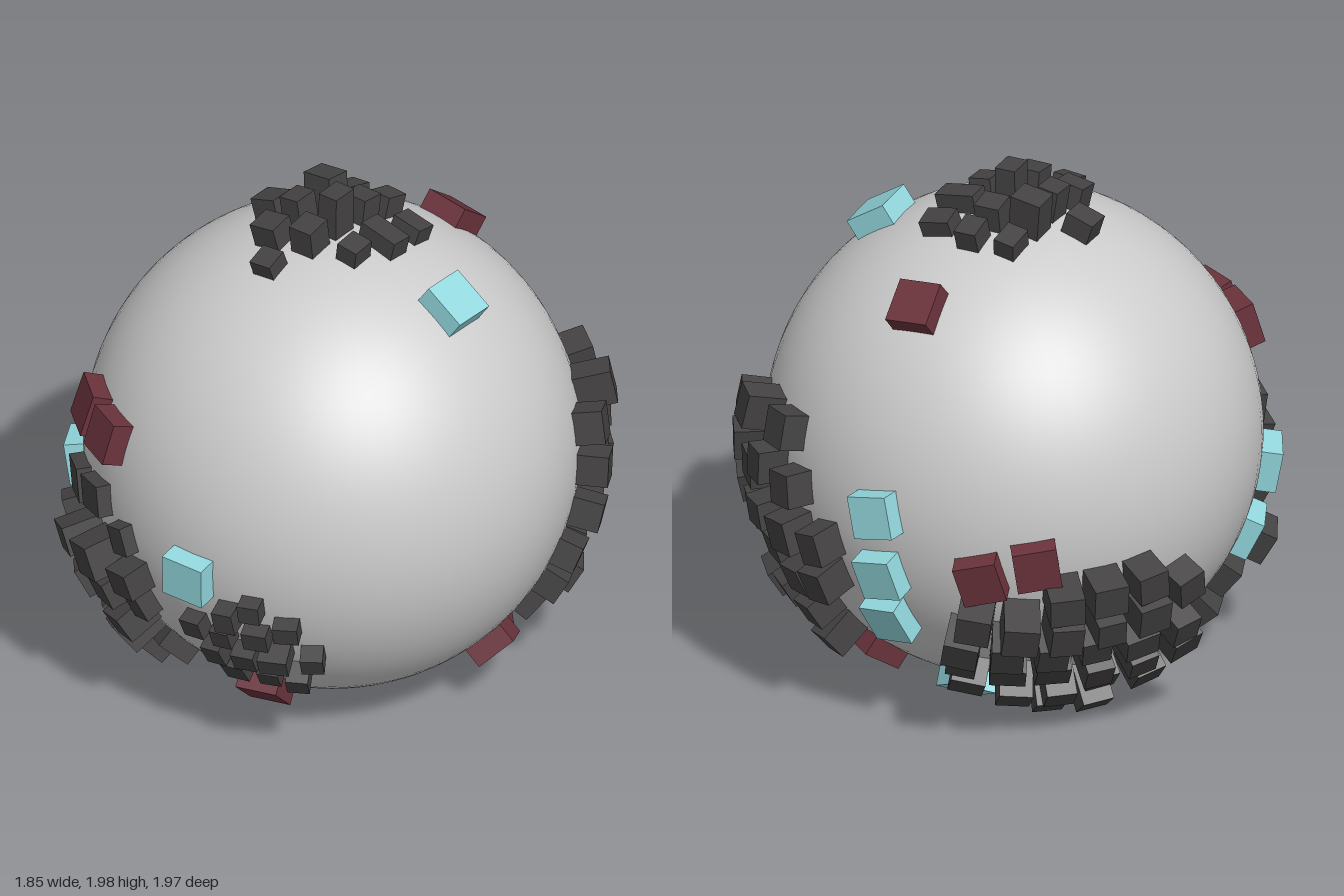
import * as THREE from 'three';

const R = 0.905;
const CENTER = new THREE.Vector3(0.018, 0.91, 0.015);
const SINK = 0.06; // how far each block reaches into the globe

const grey = new THREE.MeshStandardMaterial({ color: 0xcccccc });
const dark = new THREE.MeshStandardMaterial({ color: 0x444242 });
const maroon = new THREE.MeshStandardMaterial({ color: 0x6b333c });
const teal = new THREE.MeshStandardMaterial({ color: 0x93d8de });

// Small seeded generator for size variation
let seed = 7;
const rand = () => (seed = (seed * 16807) % 2147483647) / 2147483647;
const vary = (value, amount) => value * (1 + amount * (2 * rand() - 1));

// Axes of a patch of the globe that faces the given azimuth and elevation (degrees)
function patchFrame(azimuth, elevation) {
  const a = THREE.MathUtils.degToRad(azimuth);
  const e = THREE.MathUtils.degToRad(elevation);
  return {
    right: new THREE.Vector3(Math.cos(a), 0, -Math.sin(a)),
    up: new THREE.Vector3(-Math.sin(e) * Math.sin(a), Math.cos(e), -Math.sin(e) * Math.cos(a)),
    out: new THREE.Vector3(Math.cos(e) * Math.sin(a), Math.sin(e), Math.cos(e) * Math.cos(a)),
  };
}

// A block standing on the globe at offset (u, v) across the patch
function block(frame, u, v, width, length, height, twist, material, name) {
  const rho = R + height / 2;
  const w = Math.sqrt(Math.max(0, rho * rho - u * u - v * v));
  const normal = new THREE.Vector3()
    .addScaledVector(frame.right, u)
    .addScaledVector(frame.up, v)
    .addScaledVector(frame.out, w)
    .normalize();
  const side = new THREE.Vector3().crossVectors(frame.up, normal).normalize();
  side.applyAxisAngle(normal, twist);
  const along = new THREE.Vector3().crossVectors(normal, side);
  const mesh = new THREE.Mesh(new THREE.BoxGeometry(width, length, height + SINK), material);
  mesh.quaternion.setFromRotationMatrix(new THREE.Matrix4().makeBasis(side, along, normal));
  mesh.position.copy(CENTER).addScaledVector(normal, R + (height - SINK) / 2);
  mesh.name = name;
  return mesh;
}

// A cluster of slightly uneven blocks; a spot is [u, v, optional height, optional width]
function cluster(name, azimuth, elevation, size, height, twist, spots, material = dark, uneven = 0.13) {
  const group = new THREE.Group();
  group.name = name;
  const frame = patchFrame(azimuth, elevation);
  for (const [u, v, h, w] of spots) {
    group.add(block(
      frame, u, v,
      w ?? vary(size, uneven), vary(size, uneven), h ?? vary(height, uneven * 2),
      twist + (rand() - 0.5) * uneven, material, name + 'Block',
    ));
  }
  return group;
}

export function createModel() {
  const model = new THREE.Group();
  model.name = 'blockGlobe';

  const globe = new THREE.Mesh(new THREE.SphereGeometry(R, 64, 48), grey);
  globe.position.copy(CENTER);
  globe.name = 'globe';
  model.add(globe);

  // Crown of small blocks on the top
  model.add(cluster('topCluster', 0, 90, 0.095, 0.1, 0, [
    [-0.13, 0.26, 0.07], [0.02, 0.28, 0.08], [0.18, 0.23, 0.06, 0.12],
    [-0.14, 0.13, 0.15, 0.12], [0.0, 0.16, 0.1], [0.175, 0.08, 0.07, 0.16],
    [-0.29, 0.01, 0.08, 0.11], [-0.15, -0.01, 0.12], [0.0, 0.02, 0.17, 0.08],
    [0.15, -0.06, 0.07], [-0.16, -0.15, 0.09, 0.11], [-0.01, -0.12, 0.11], [-0.07, -0.28, 0.06],
  ]));

  // Small blocks low on the front
  model.add(cluster('frontLeftCluster', 0, 0, 0.085, 0.07, 0.05, [
    [0.33, -0.16], [0.236, -0.22], [0.44, -0.24], [0.08, -0.32], [0.2, -0.32],
    [0.325, -0.3], [0.385, -0.38, 0.1, 0.11], [0.49, -0.39], [0.14, -0.43],
    [0.26, -0.42], [0.19, -0.51], [0.31, -0.51], [0.41, -0.51],
  ]));

  // Dense blocks on the front right flank
  model.add(cluster('frontRightCluster', 0, 0, 0.125, 0.12, 0.25, [
    [-0.59, -0.05, 0.05, 0.15], [-0.43, 0.0, 0.05, 0.15], [-0.25, -0.08, 0.05, 0.09],
    [-0.66, -0.25], [-0.52, -0.21], [-0.36, -0.19], [-0.2, -0.22], [-0.19, -0.35, 0.07, 0.09],
    [-0.61, -0.36], [-0.49, -0.34], [-0.34, -0.34], [-0.72, -0.46], [-0.57, -0.48],
    [-0.42, -0.47], [-0.27, -0.46], [-0.67, -0.57], [-0.47, -0.59], [-0.34, -0.58],
    [-0.24, -0.68, 0.07, 0.1], [-0.57, -0.71], [-0.44, -0.69], [-0.34, -0.7],
  ]));

  // Rows of blocks on the back left flank
  model.add(cluster('backLeftCluster', 140, -30, 0.12, 0.11, 0, [
    [-0.28, 0.58], [-0.11, 0.65], [0.09, 0.64],
    [-0.31, 0.44], [-0.14, 0.43], [0, 0.51], [0.18, 0.48],
    [-0.33, 0.27], [-0.19, 0.25], [0.01, 0.35], [0.17, 0.32], [0.34, 0.31],
    [-0.39, 0.12], [-0.21, 0.09], [-0.01, 0.18], [0.16, 0.13], [0.32, 0.16],
    [-0.34, -0.04], [-0.2, -0.04], [-0.04, -0.01], [0.14, -0.03],
    [-0.21, -0.19], [-0.04, -0.16], [0.14, -0.17],
  ]));

  // Dense rows of blocks on the back right flank: [v, first u, count]
  const backRightSpots = [];
  for (const [v, start, count] of [
    [0.27, -0.02, 3], [0.14, -0.33, 6], [0.0, -0.36, 6],
    [-0.14, -0.34, 6], [-0.28, -0.3, 5], [-0.4, 0.0, 2],
  ]) {
    for (let i = 0; i < count; i++) backRightSpots.push([start + i * 0.158, v]);
  }
  model.add(cluster('backRightCluster', -139, -30, 0.12, 0.13, 0, backRightSpots));

  // Larger maroon and teal blocks
  const accent = (name, azimuth, elevation, twist, material, spots, size = 0.165) =>
    model.add(cluster(name, azimuth, elevation, size, 0.07, twist, spots, material, 0.03));

  accent('frontMaroon', 0, 0, 0, maroon, [[-0.555, 0.276], [-0.385, 0.276]]);
  accent('lowFrontMaroon', 0, 0, 0.05, maroon, [[0.2, -0.674]]);
  accent('topMaroon', 0, 90, 0, maroon, [[0.08, 0.59]]);
  accent('backMaroon', -145, 25, 0.15, maroon, [[-0.22, -0.53], [-0.02, -0.49]]);
  accent('underMaroon', 140, -30, -0.15, maroon, [[-0.44, -0.31], [-0.23, -0.37], [-0.01, -0.41]]);

  accent('frontTeal', 0, 0, -0.05, teal, [[0.09, -0.08]]);
  accent('topTeal', 0, 90, 0, teal, [[0.515, 0.07]], 0.18);
  accent('sideTeal', 0, 0, 0.1, teal, [[-0.79, -0.155], [-0.75, -0.4]]);
  accent('backTeal', 140, -30, -0.1, teal, [[0.555, 0.41], [0.55, 0.18], [0.495, -0.03]]);
  accent('underTeal', 140, -30, 0.4, teal, [[0.41, -0.5], [0.45, -0.67]]);

  return model;
}
